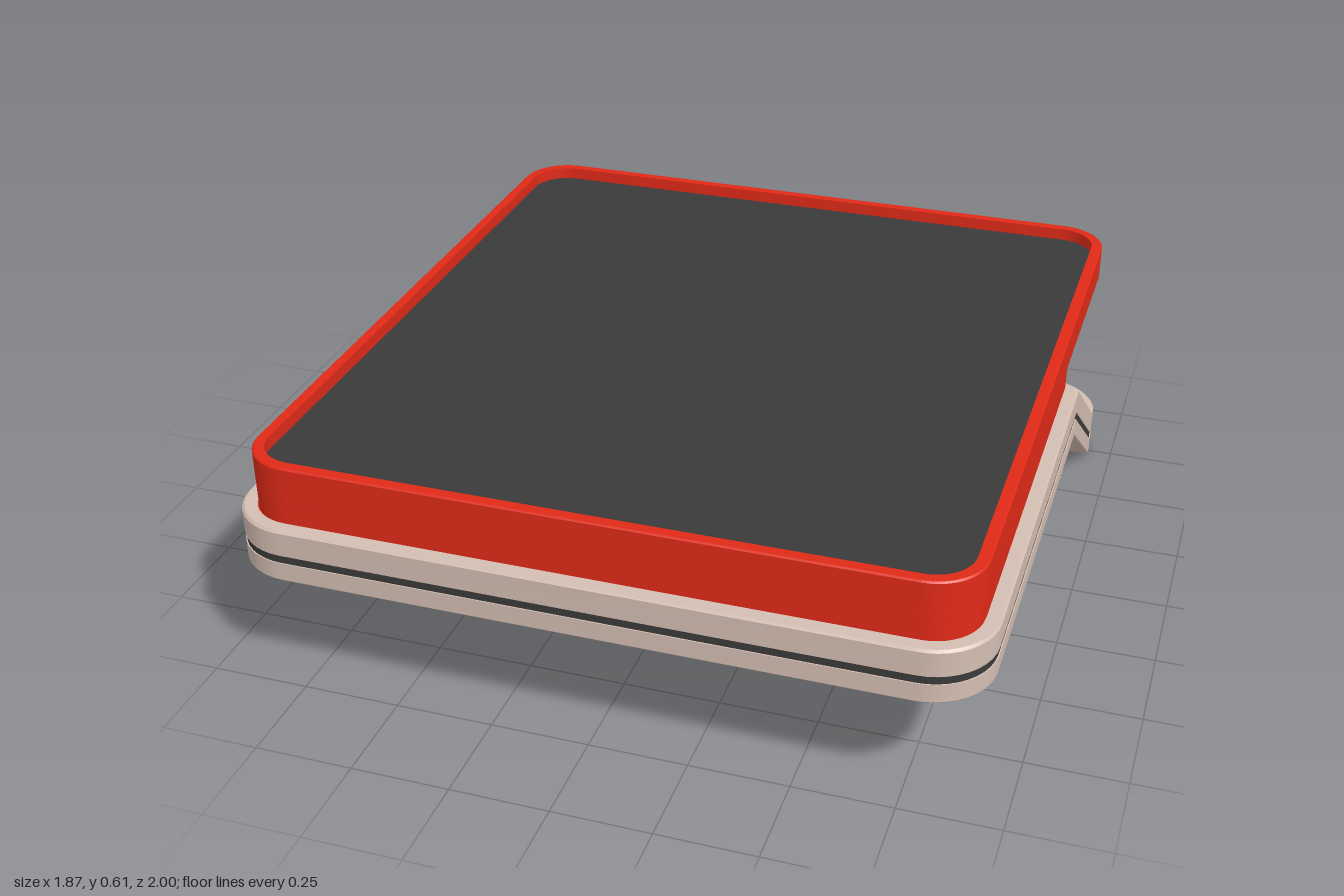
import * as THREE from 'three';
import { toCreasedNormals } from 'three/addons/utils/BufferGeometryUtils.js';

const RED = 0xe02a18, CREAM = 0xd3bdb1, DARK = 0x3a3a3a;
const BEND_TOP = -0.28, BEND_LOW = -0.73, DROP = 0.31;

// Height of the bent base's underside at a given z
const bend = z => DROP * THREE.MathUtils.clamp((z - BEND_LOW) / (BEND_TOP - BEND_LOW), 0, 1);

// Right half of a rounded rectangle, walked from front to back
function halfOutline({ hw, front, back, rf, rb }, inset) {
  const pts = [];
  const corner = (cx, cz, r, a0) => {
    const n = r > 0 ? 10 : 0;
    for (let i = 0; i <= n; i++) {
      const a = a0 - (n ? i / n : 0) * Math.PI / 2;
      const rr = r > 0 ? r - inset : 0;
      pts.push([cx + rr * Math.cos(a), cz + rr * Math.sin(a)]);
    }
  };
  corner(hw - rf, front - rf, rf, Math.PI / 2);
  for (const z of [BEND_TOP, BEND_LOW]) {
    if (z > back + rb + 0.001) pts.push([hw - inset, z]);
  }
  if (rb > 0) corner(hw - rb, back + rb, rb, 0);
  else pts.push([hw - inset, back]);
  return pts;
}

function makeMesh(name, positions, color, crease = 0.4) {
  let geo = new THREE.BufferGeometry();
  geo.setAttribute('position', new THREE.Float32BufferAttribute(positions, 3));
  geo = toCreasedNormals(geo, crease);
  const mesh = new THREE.Mesh(geo, new THREE.MeshStandardMaterial({ color, side: THREE.DoubleSide }));
  mesh.name = name;
  return mesh;
}

function quad(out, a, b, c, d) {
  out.push(...a, ...b, ...c, ...a, ...c, ...d);
}

// Sweeps a profile of [inset, height] round an outline and caps both ends
function slab(name, outline, profile, color, lift = () => 0) {
  const out = [];
  const halves = profile.map(([inset, y]) =>
    halfOutline(outline, inset).map(([x, z]) => [x, y + lift(z), z]));
  const mirror = ([x, y, z]) => [-x, y, z];
  const rings = halves.map(h => [...h, ...h.map(mirror).reverse()]);
  for (let k = 0; k < rings.length - 1; k++) {
    const lo = rings[k], hi = rings[k + 1];
    for (let i = 0; i < lo.length; i++) {
      const j = (i + 1) % lo.length;
      quad(out, lo[i], lo[j], hi[j], hi[i]);
    }
  }
  const bottom = halves[0], top = halves[halves.length - 1];
  for (let i = 0; i < top.length - 1; i++) {
    quad(out, top[i], top[i + 1], mirror(top[i + 1]), mirror(top[i]));
    quad(out, mirror(bottom[i]), mirror(bottom[i + 1]), bottom[i + 1], bottom[i]);
  }
  return makeMesh(name, out, color);
}

// U-shaped path of the bellows with narrow grooves between its panels
function bellowsPath(hw, back, r, yAt) {
  const half = [];
  const groove = 0.014, w = 0.012;
  const zEnd = back + r, len = BEND_TOP - zEnd;
  half.push([hw, BEND_TOP]);
  for (const t of [0.1, 0.57, 0.94]) {
    const z = BEND_TOP - t * len;
    half.push([hw, z + w], [hw - groove, z], [hw, z - w]);
  }
  for (let i = 0; i <= 6; i++) {
    const a = i / 6 * Math.PI / 2;
    half.push([hw - r + r * Math.cos(a), zEnd - r * Math.sin(a)]);
  }
  const panels = 6, xEnd = hw - r;
  for (let i = panels; i >= 1; i--) {
    const x = xEnd * (i - 0.5) / panels;
    half.push([x + w, back], [x, back + groove], [x - w, back]);
  }
  return [...half, ...half.map(([x, z]) => [-x, z]).reverse()].map(([x, z]) => [x, yAt(z), z]);
}

export function createModel() {
  const model = new THREE.Group();
  model.name = 'bentBaseTray';

  // Bent base: two cream shells with a dark stripe between them
  const base = new THREE.Group();
  base.name = 'base';
  const plan = { hw: 0.935, front: 1, back: -0.9, rf: 0.16, rb: 0.16 };
  base.add(
    slab('lowerShell', plan, [[0.005, 0], [0, 0.005], [0, 0.052]], CREAM, bend),
    slab('stripe', plan, [[0.003, 0.052], [0.003, 0.074]], DARK, bend),
    slab('upperShell', plan,
      [[0, 0.074], [0, 0.137], [0.006, 0.143], [0.038, 0.143], [0.038, 0.125]], CREAM, bend),
    slab('redInlay', plan, [[0.038, 0.12], [0.038, 0.138]], RED, bend));
  model.add(base);

  // Red lid: a full tray over a block that rests on the level part of the base
  const lid = new THREE.Group();
  lid.name = 'lid';
  const lidPlan = { hw: 0.898, front: 0.96, back: -1, rf: 0.13, rb: 0.13 };
  lid.add(
    slab('lidBlock', { ...lidPlan, back: BEND_TOP, rb: 0 }, [[0, 0.44], [0, 0.512]], RED),
    slab('lidTray', lidPlan,
      [[0.003, 0.508], [0, 0.511], [0, 0.601], [0.004, 0.605], [0.03, 0.605], [0.03, 0.56]], RED),
    slab('topPanel', lidPlan, [[0.03, 0.555], [0.03, 0.572]], DARK));
  model.add(lid);

  // Pleated bellows closing the wedge between lid and base
  const low = bellowsPath(0.8, -0.77, 0.08, z => bend(z) + 0.135);
  const high = bellowsPath(0.835, -0.9, 0.08, () => 0.51);
  const out = [];
  for (let i = 0; i < low.length - 1; i++) quad(out, low[i], low[i + 1], high[i + 1], high[i]);
  model.add(makeMesh('bellows', out, DARK, 0.35));

  return model;
}
